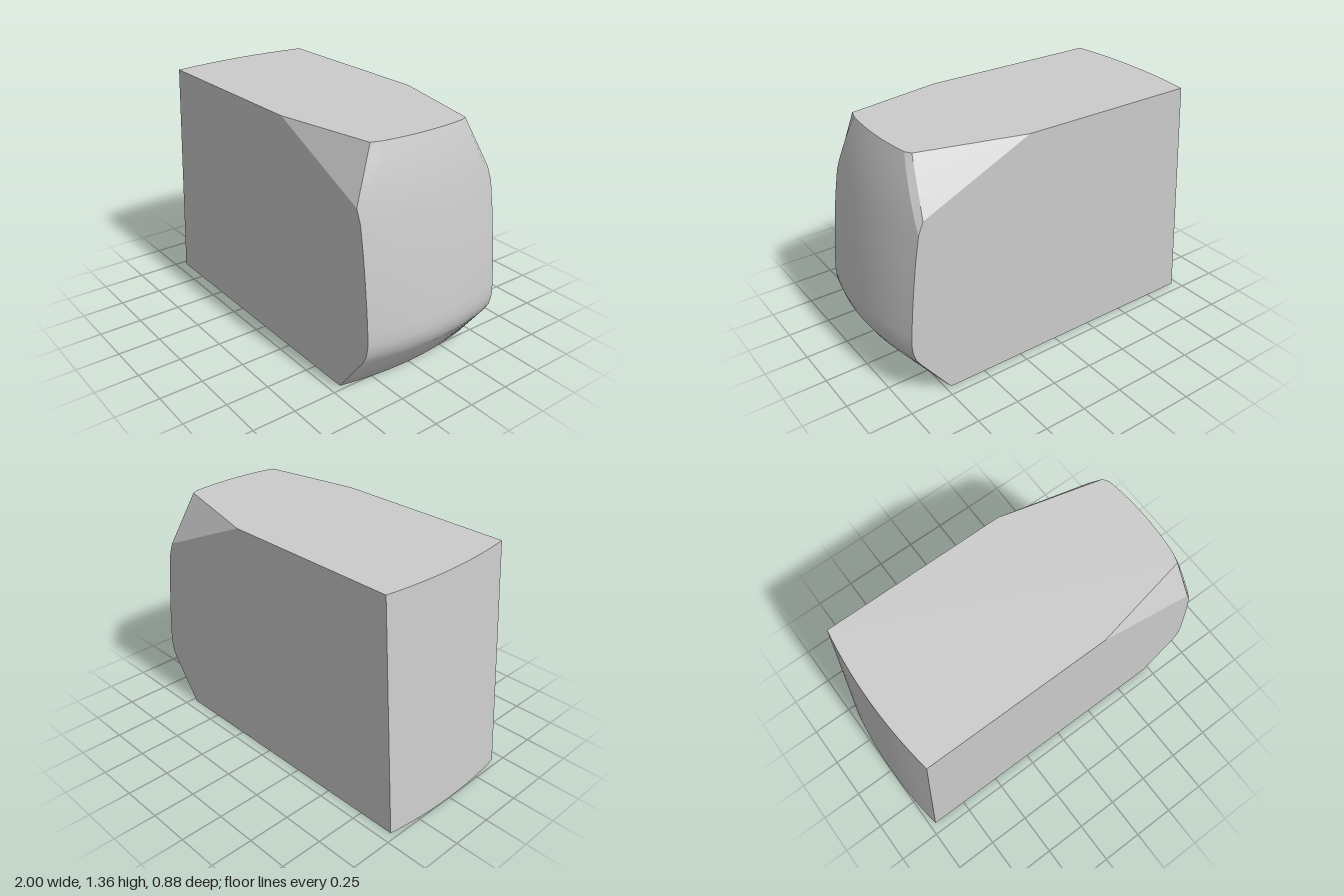
import * as THREE from 'three';
import { toCreasedNormals } from 'three/addons/utils/BufferGeometryUtils.js';

const HALF = 0.44, HEIGHT = 1.36, ARC = 14;
const CUT = 1.07, ROUND = 1.0; // heights where the corner cut and its rounding begin

// bowed end: height, x at mid-depth, how far the sides fall back
const END = [
  [0, 0.77, 0.05], [0.24, 0.96, 0.06], [0.28, 0.983, 0.06], [0.32, 0.995, 0.06],
  [0.36, 1.0, 0.06], [0.42, 0.996, 0.058], [0.55, 0.983, 0.056], [0.7, 0.966, 0.056],
  [0.85, 0.946, 0.056], [ROUND, 0.92, 0.056], [CUT, 0.908, 0.056],
  [1.17, 0.885, 0.056], [1.27, 0.859, 0.056], [HEIGHT, 0.83, 0.056],
];

const lerp = THREE.MathUtils.lerp;
const ramp = (y, from, to) => THREE.MathUtils.clamp((y - from) / (to - from), 0, 1);

// points where the corner cut meets the side (a), its rounding (b) and the bowed end (c)
function corner(y, x, bow, side) {
  const [aTop, bTop, cTop] = side > 0 ? [0.22, 0.33, 0.275] : [0.2, 0.29, 0.255];
  const t = ramp(y, CUT, HEIGHT);
  const xb = y > CUT ? lerp(0.835, 0.79, t) : lerp(x - bow, 0.835, ramp(y, ROUND, CUT));
  return {
    a: [y > CUT ? lerp(0.835, aTop, t) : xb, HALF * side],
    b: [xb, lerp(HALF, bTop, t) * side],
    c: lerp(HALF, cTop, ramp(y, ROUND, HEIGHT)) * side,
  };
}

// horizontal cross-section, anticlockwise from above
function section([y, x, bow]) {
  const ring = [];
  const back = lerp(-1, -0.9, y / HEIGHT);
  for (let i = 0; i <= ARC; i++) {
    const z = lerp(-HALF, HALF, i / ARC);
    ring.push([back + 0.035 * (z / HALF) ** 2, z]);
  }
  const p = corner(y, x, bow, 1), q = corner(y, x, bow, -1);
  ring.push(p.a, p.b);
  for (let i = 0; i <= ARC; i++) {
    const z = lerp(p.c, q.c, i / ARC);
    ring.push([x - bow * (z / HALF) ** 2, z]);
  }
  ring.push(q.b, q.a);
  return ring.map(([px, pz]) => new THREE.Vector3(px, y, pz));
}

export function createModel() {
  const rings = END.map(section);
  const n = rings[0].length;
  const pos = [];
  const tri = (a, b, c) => {
    const area = b.clone().sub(a).cross(c.clone().sub(a)).length();
    if (area > 1e-7) for (const v of [a, b, c]) pos.push(v.x, v.y, v.z);
  };

  // walls
  for (let r = 0; r < rings.length - 1; r++) {
    for (let i = 0; i < n; i++) {
      const j = (i + 1) % n, lo = rings[r], hi = rings[r + 1];
      tri(lo[i], lo[j], hi[j]);
      tri(lo[i], hi[j], hi[i]);
    }
  }
  // flat top and bottom
  const top = rings[rings.length - 1], bottom = rings[0];
  for (let i = 1; i < n - 1; i++) {
    tri(top[0], top[i], top[i + 1]);
    tri(bottom[0], bottom[i + 1], bottom[i]);
  }

  const geometry = new THREE.BufferGeometry();
  geometry.setAttribute('position', new THREE.Float32BufferAttribute(pos, 3));
  const block = new THREE.Mesh(
    toCreasedNormals(geometry, 0.3),
    new THREE.MeshStandardMaterial({ color: 0xcccccc }),
  );
  block.name = 'block';

  const group = new THREE.Group();
  group.name = 'shapedBlock';
  group.add(block);
  return group;
}
